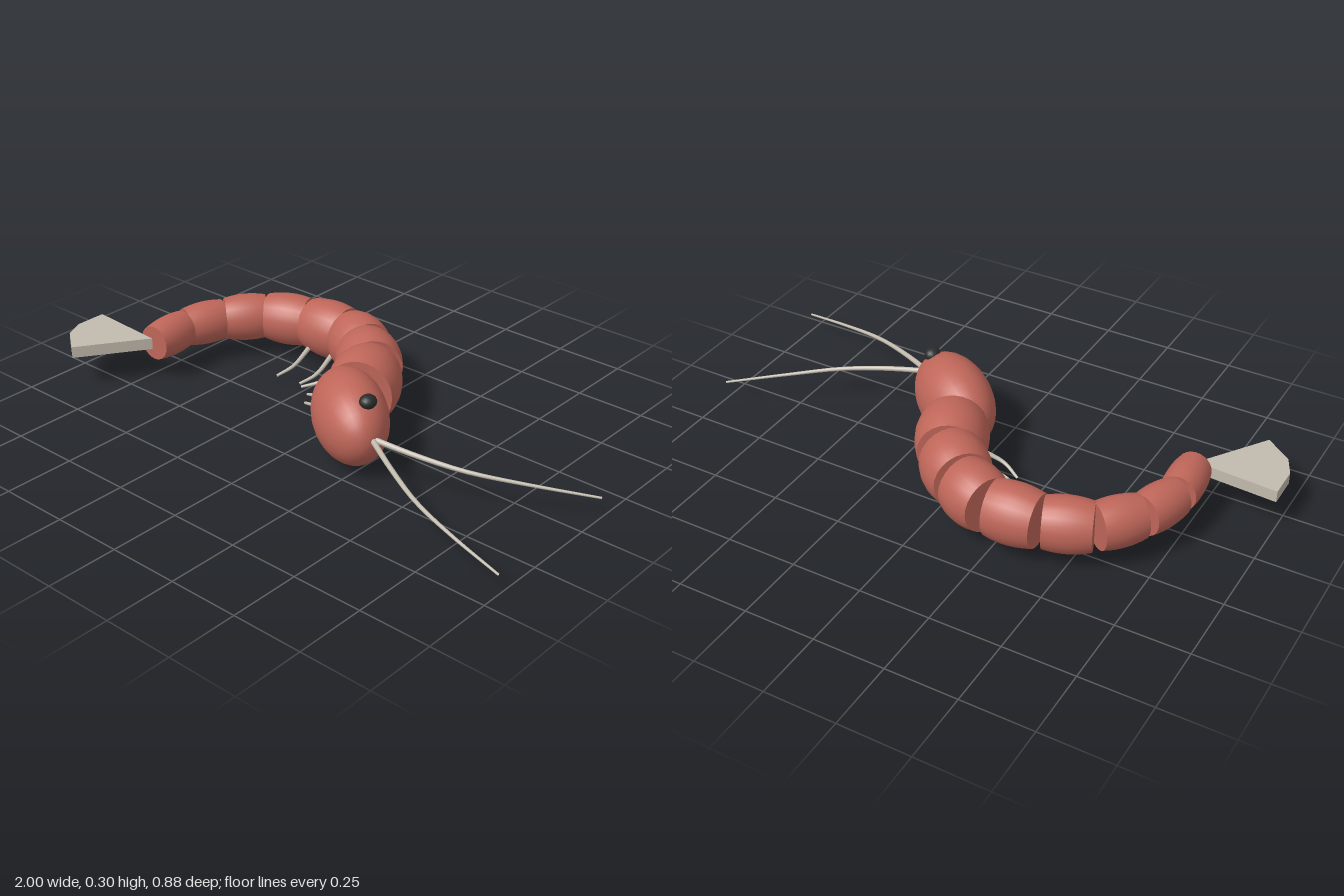
import * as THREE from 'three';

const MID_Y = 0.145;

function material(name, color, side = THREE.FrontSide) {
  const m = new THREE.MeshStandardMaterial({ color, side });
  m.name = name;
  return m;
}

// Barrel with flat ends, along y, narrower at the rear end
function barrel(length, radius) {
  const rear = 0.87, front = 0.92, pts = [[0, 0], [rear, 0]];
  for (let i = 0; i <= 8; i++) {
    const t = i / 8;
    const ends = rear + (front - rear) * t;
    pts.push([ends + (1 - (rear + front) / 2) * 4 * t * (1 - t), t]);
  }
  pts.push([front, 1], [0, 1]);
  return new THREE.LatheGeometry(
    pts.map(([r, t]) => new THREE.Vector2(r * radius, (t - 0.5) * length)), 24);
}

// Turns local y to a level direction and local x upright
function aim(mesh, dir) {
  const up = new THREE.Vector3(0, 1, 0);
  const side = new THREE.Vector3().crossVectors(up, dir);
  mesh.quaternion.setFromRotationMatrix(new THREE.Matrix4().makeBasis(up, dir, side));
}

// Tube along a smooth path, thinning from r0 to r1
function taperedTube(points, r0, r1) {
  const curve = new THREE.CatmullRomCurve3(points.map(p => new THREE.Vector3(...p)));
  const rings = 16, sides = 8;
  const geo = new THREE.TubeGeometry(curve, rings, 1, sides);
  const pos = geo.attributes.position, v = new THREE.Vector3();
  for (let i = 0; i < pos.count; i++) {
    const t = Math.floor(i / (sides + 1)) / rings;
    const c = curve.getPointAt(t);
    v.fromBufferAttribute(pos, i).sub(c).multiplyScalar(r0 + (r1 - r0) * t).add(c);
    pos.setXYZ(i, v.x, v.y, v.z);
  }
  return geo;
}

export function createModel() {
  const model = new THREE.Group();
  model.name = 'shrimp';
  const shell = material('shell red', 0xbf6659);
  const pale = material('pale grey', 0xc2bbae, THREE.DoubleSide);
  const black = material('eye black', 0x2a2c2c);

  const add = (name, geo, mat, parent = model) => {
    const mesh = new THREE.Mesh(geo, mat);
    mesh.name = name;
    parent.add(mesh);
    return mesh;
  };

  // Curled body: front x, z, rear x, z, half height
  const body = new THREE.Group();
  body.name = 'body';
  model.add(body);
  [
    [0.09, -0.02, 0.02, -0.17, 0.134],
    [0.013, -0.18, -0.094, -0.273, 0.125],
    [-0.099, -0.287, -0.225, -0.342, 0.114],
    [-0.24, -0.342, -0.402, -0.334, 0.106],
    [-0.415, -0.329, -0.564, -0.273, 0.096],
    [-0.57, -0.267, -0.666, -0.15, 0.087],
    [-0.671, -0.144, -0.721, -0.003, 0.079],
    [-0.72, 0.008, -0.711, 0.163, 0.073],
  ].forEach(([fx, fz, rx, rz, r], i) => {
    const dir = new THREE.Vector3(fx - rx, 0, fz - rz);
    const seg = add(`bodySegment${i + 1}`, barrel(dir.length(), r), shell, body);
    aim(seg, dir.normalize());
    seg.scale.z = 0.94;
    seg.position.set((fx + rx) / 2, MID_Y, (fz + rz) / 2);
  });

  // Head
  const head = add('head', new THREE.SphereGeometry(1, 28, 18), shell);
  const angle = THREE.MathUtils.degToRad(36);
  aim(head, new THREE.Vector3(Math.cos(angle), 0, Math.sin(angle)));
  head.scale.set(0.149, 0.209, 0.124);
  head.position.set(0.166, 0.15, 0.113);

  // Eye
  const eye = add('eye', new THREE.SphereGeometry(1, 16, 12), black);
  eye.scale.set(0.028, 0.024, 0.031);
  eye.position.set(0.287, 0.266, 0.167);

  // Antennae
  [
    [[0.33, 0.162, 0.2], [0.48, 0.143, 0.166], [0.64, 0.121, 0.11], [0.8, 0.098, 0.018], [0.997, 0.071, -0.107]],
    [[0.33, 0.162, 0.2], [0.48, 0.143, 0.282], [0.635, 0.121, 0.352], [0.8, 0.098, 0.396], [0.997, 0.071, 0.434]],
  ].forEach((path, i) => add(`antenna${i + 1}`, taperedTube(path, 0.01, 0.004), pale));

  // Swimming legs: root, knee and tip as x, z
  [
    [-0.352, -0.265, -0.345, -0.17, -0.372, -0.112],
    [-0.247, -0.265, -0.238, -0.17, -0.27, -0.12],
    [-0.13, -0.22, -0.19, -0.14, -0.249, -0.107],
    [-0.045, -0.13, -0.12, -0.07, -0.195, -0.08],
    [-0.01, -0.025, -0.094, -0.005, -0.158, -0.027],
  ].forEach(([ax, az, bx, bz, cx, cz], i) => add(`leg${i + 1}`,
    taperedTube([[ax, 0.085, az], [bx, 0.048, bz], [cx, 0.022, cz]], 0.009, 0.005), pale));

  // Tail fan, a flat plate
  const fan = new THREE.Shape(
    [[-1, 0.152], [-1, 0.265], [-0.967, 0.335], [-0.874, 0.405], [-0.713, 0.17]]
      .map(([x, z]) => new THREE.Vector2(x, -z)));
  const fanGeo = new THREE.ExtrudeGeometry(fan, { depth: 0.042, bevelEnabled: false });
  fanGeo.rotateX(-Math.PI / 2);
  add('tailFan', fanGeo, pale).position.y = 0.123;

  return model;
}
